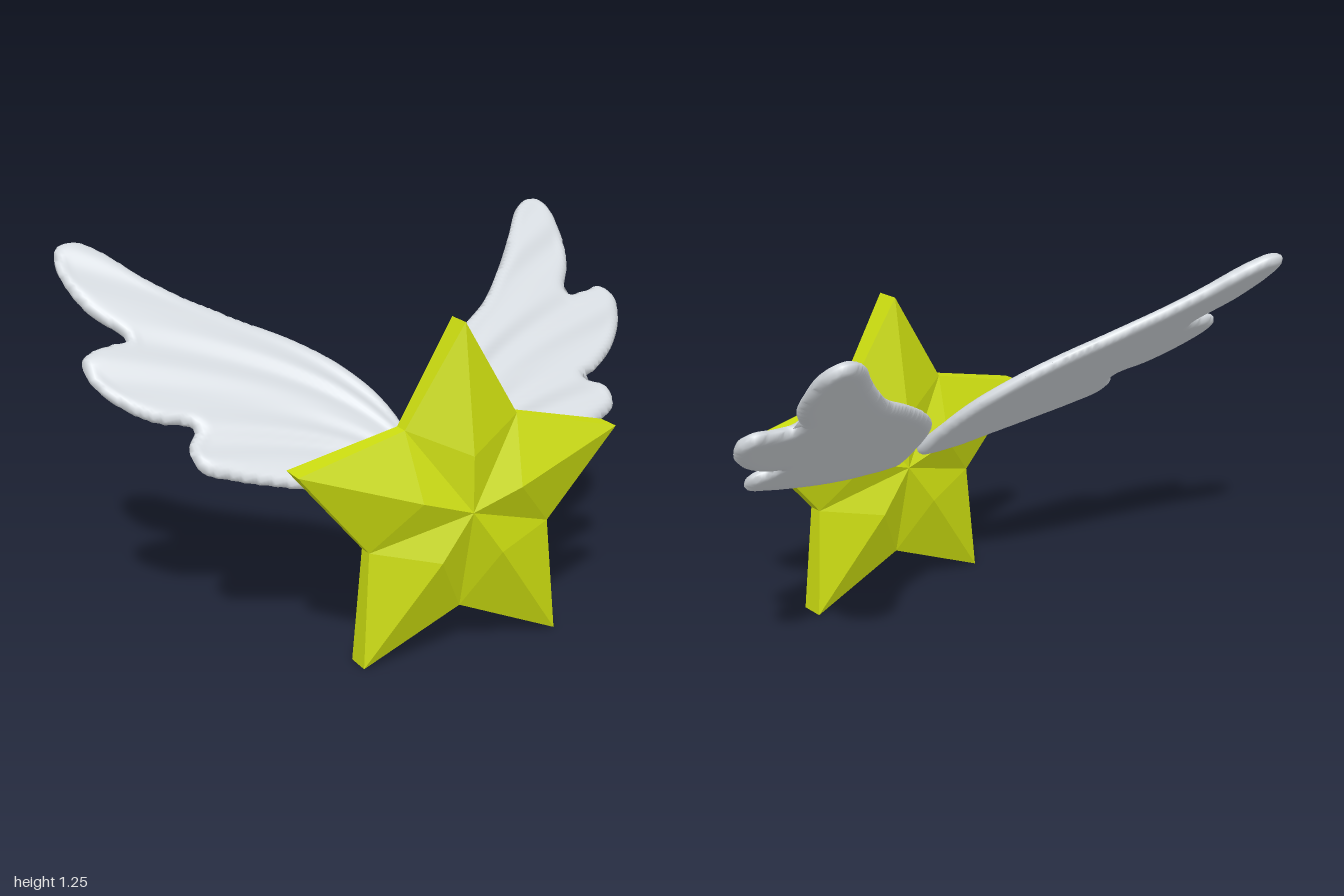
import * as THREE from 'three';

const starYellow = new THREE.MeshStandardMaterial({ color: 0xcbdc10 });
starYellow.name = 'star yellow';
starYellow.flatShading = true;
const wingGrey = new THREE.MeshStandardMaterial({ color: 0xd4d9de });
wingGrey.name = 'wing pale grey';

// Faceted five-pointed star: ridges rise from each tip to a raised middle
function createStar() {
  const pos = [];
  const centre = [0.03, 0.49, 0.42];
  const point = (r, angle, z) => [r * Math.cos(angle), r * Math.sin(angle), z];
  const tri = (...corners) => corners.forEach((c) => pos.push(...c.map((v, i) => v + centre[i])));
  const step = Math.PI / 5;
  for (let k = 0; k < 5; k++) {
    const a = Math.PI / 2 + k * 2 * step;
    for (const s of [1, -1]) {
      const C = [0, 0, 0.108 * s];
      const M = point(0.185, a, 0.108 * s);
      const T = point(0.597, a, 0.042 * s);
      const R = point(0.34, a - step, 0.025 * s);
      const L = point(0.34, a + step, 0.025 * s);
      for (const [p, q, r] of [[C, R, M], [R, T, M], [C, M, L], [M, T, L]]) {
        if (s > 0) tri(p, q, r);
        else tri(p, r, q);
      }
    }
    // narrow rim on both sides of the tip
    const tip = (s) => point(0.597, a, 0.042 * s);
    const inner = (side, s) => point(0.34, a + side * step, 0.025 * s);
    tri(inner(-1, 1), inner(-1, -1), tip(-1));
    tri(inner(-1, 1), tip(-1), tip(1));
    tri(tip(1), tip(-1), inner(1, -1));
    tri(tip(1), inner(1, -1), inner(1, 1));
  }
  const geo = new THREE.BufferGeometry();
  geo.setAttribute('position', new THREE.Float32BufferAttribute(pos, 3));
  geo.computeVertexNormals();
  const mesh = new THREE.Mesh(geo, starYellow);
  mesh.name = 'star';
  return mesh;
}

// Wing outlines as seen from above (x, z): leading edge, three feather lobes, root
const rightOutline = [
  [-0.02, 0.33], [-0.02, 0.21], [-0.065, 0.08], [-0.16, -0.03], [-0.29, -0.12], [-0.45, -0.2],
  [-0.6, -0.28], [-0.72, -0.36], [-0.825, -0.445], [-0.905, -0.48], [-0.962, -0.46], [-0.975, -0.39],
  [-0.93, -0.28], [-0.83, -0.18], [-0.93, -0.165], [-0.993, -0.135], [-0.99, -0.08], [-0.92, 0],
  [-0.825, 0.055], [-0.715, 0.087], [-0.755, 0.14], [-0.74, 0.2], [-0.64, 0.24], [-0.48, 0.28],
  [-0.32, 0.315], [-0.18, 0.345],
];
const leftOutline = [
  [0.07, 0.33], [0.075, 0.2], [0.12, 0.07], [0.2, -0.015], [0.35, -0.12], [0.485, -0.2],
  [0.59, -0.29], [0.7, -0.4], [0.795, -0.5], [0.87, -0.53], [0.915, -0.5], [0.92, -0.41],
  [0.885, -0.295], [0.815, -0.19], [0.885, -0.188], [0.965, -0.198], [0.997, -0.155], [0.97, -0.08],
  [0.885, 0.005], [0.78, 0.065], [0.715, 0.09], [0.783, 0.122], [0.78, 0.18], [0.68, 0.23],
  [0.54, 0.28], [0.375, 0.325], [0.22, 0.345],
];

// Feather grooves fan out from the root, following the curved leading edge
function feather(x, z, root) {
  const dx = Math.abs(x - root[0]), dz = 0.33 - z;
  const r = Math.hypot(dx, dz);
  const s = Math.atan2(dz, dx) / (0.62 + 1.25 * Math.exp(-2 * r));
  const fade = Math.min(1, r / 0.35);
  return fade * (0.0055 * Math.cos(s * Math.PI * 10) + 0.002 * Math.sin(s * 47 + r * 5));
}

// Rounded slab on the sloping plane y = a - b z, grooved on its upper face
function createWing(name, outline, a, b) {
  const curve = new THREE.CatmullRomCurve3(
    outline.map(([x, z]) => new THREE.Vector3(x, 0, z)), true, 'centripetal');
  const edge = curve.getSpacedPoints(600);
  const inside = (x, z) => {
    let hit = false;
    for (let i = 0, j = edge.length - 1; i < edge.length; j = i++) {
      const p = edge[i], q = edge[j];
      if ((p.z > z) !== (q.z > z) && x < ((q.x - p.x) * (z - p.z)) / (q.z - p.z) + p.x) hit = !hit;
    }
    return hit;
  };
  const nearest = (x, z) => {
    let best = edge[0], d = Infinity;
    for (const p of edge) {
      const e = (p.x - x) ** 2 + (p.z - z) ** 2;
      if (e < d) { d = e; best = p; }
    }
    return [best, Math.sqrt(d)];
  };

  const box = new THREE.Box3().setFromPoints(edge);
  const step = 0.0115, round = 0.028, half = 0.023;
  const nx = Math.ceil((box.max.x - box.min.x) / step) + 2;
  const nz = Math.ceil((box.max.z - box.min.z) / step) + 2;
  const n = new THREE.Vector3(0, 1, b).normalize();
  const pos = [], index = [], grid = [];
  const add = (x, z, h) => {
    pos.push(x, a - b * z + n.y * h, z + n.z * h);
    return pos.length / 3 - 1;
  };

  // grid points outside the outline are pulled onto it and shared by both faces
  for (let j = 0; j <= nz; j++) {
    for (let i = 0; i <= nx; i++) {
      const x = box.min.x + (i - 1) * step, z = box.min.z + (j - 1) * step;
      const [p, d] = nearest(x, z);
      if (inside(x, z)) {
        const k = 1 - Math.min(d / round, 1);
        const h = half * Math.sqrt(1 - k * k);
        const groove = feather(x, z, outline[0]) * Math.min(1, d / 0.04);
        grid.push({ solid: true, top: add(x, z, h + groove), bottom: add(x, z, -h) });
      } else {
        const v = add(p.x, p.z, 0);
        grid.push({ solid: false, top: v, bottom: v });
      }
    }
  }
  for (let j = 0; j < nz; j++) {
    for (let i = 0; i < nx; i++) {
      const k = j * (nx + 1) + i;
      const [p, q, r, s] = [grid[k], grid[k + nx + 1], grid[k + nx + 2], grid[k + 1]];
      if (!(p.solid || q.solid || r.solid || s.solid)) continue;
      index.push(p.top, q.top, r.top, p.top, r.top, s.top);
      index.push(p.bottom, r.bottom, q.bottom, p.bottom, s.bottom, r.bottom);
    }
  }
  const geo = new THREE.BufferGeometry();
  geo.setAttribute('position', new THREE.Float32BufferAttribute(pos, 3));
  geo.setIndex(index);
  geo.computeVertexNormals();
  const mesh = new THREE.Mesh(geo, wingGrey);
  mesh.name = name;
  return mesh;
}

export function createModel() {
  const model = new THREE.Group();
  model.name = 'wingedStar';
  model.add(
    createStar(),
    createWing('rightWing', rightOutline, 0.825, 0.88),
    createWing('leftWing', leftOutline, 0.795, 0.83),
  );
  return model;
}
